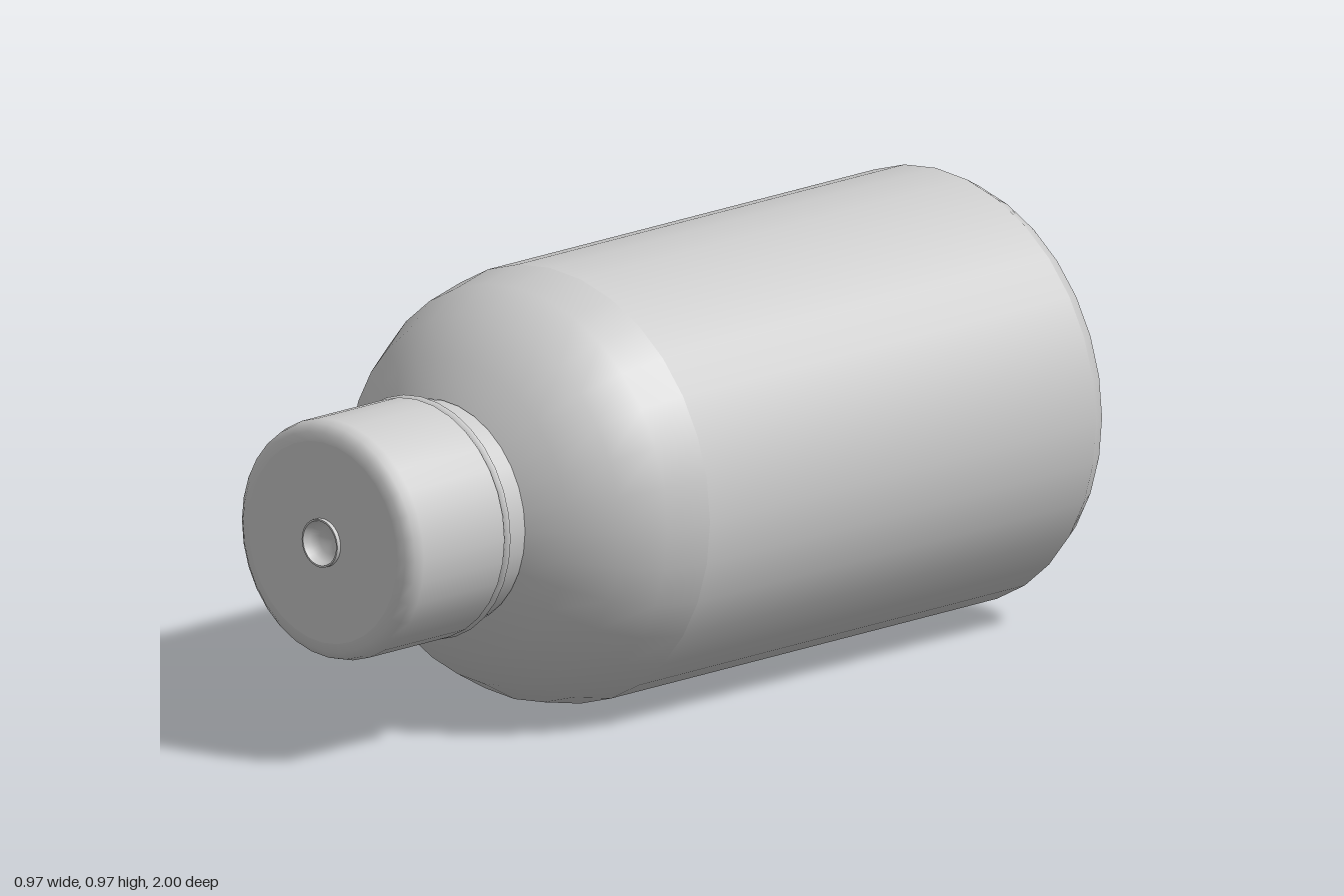
import * as THREE from 'three';

const SIDES = 32;
const material = new THREE.MeshStandardMaterial({ color: 0xcccccc });

// Turns [radius, z] points, listed from back to front, around the bottle's long axis.
function turned(name, points, sides = SIDES) {
  const profile = points.map(([r, z]) => new THREE.Vector2(r, z));
  const geometry = new THREE.LatheGeometry(profile, sides).rotateX(Math.PI / 2);
  const mesh = new THREE.Mesh(geometry, material);
  mesh.name = name;
  return mesh;
}

export function createModel() {
  const bottle = new THREE.Group();
  bottle.name = 'bottle';

  // Body: dished base with rounded rim, straight wall, domed shoulder
  bottle.add(
    turned('base', [[0, -0.968], [0.05, -0.968], [0.3, -0.976], [0.36, -0.99],
      [0.4, -1], [0.43, -0.993], [0.463, -0.972], [0.486, -0.93]]),
    turned('wall', [[0.486, -0.93], [0.486, 0.28]]),
    turned('shoulder', [[0.486, 0.28], [0.463, 0.39], [0.411, 0.485], [0.33, 0.565], [0.25, 0.615]]),
  );

  // Neck with the thin collar below the cap
  bottle.add(
    turned('neck', [[0.248, 0.61], [0.248, 0.665]]),
    turned('collar', [[0.248, 0.665], [0.258, 0.672], [0.271, 0.682], [0.258, 0.69], [0.25, 0.7]]),
  );

  // Cap: skirt, rounded front edge and flat face
  bottle.add(
    turned('capUnderside', [[0.245, 0.698], [0.268, 0.698]]),
    turned('capSkirt', [[0.268, 0.698], [0.268, 0.95], [0.262, 0.972], [0.245, 0.986], [0.225, 0.99]]),
    turned('capFace', [[0.225, 0.99], [0.052, 0.99]]),
  );

  // Small raised spout with a hollow centre
  bottle.add(
    turned('spoutWall', [[0.054, 0.988], [0.054, 1]]),
    turned('spoutRim', [[0.054, 1], [0.05, 1]]),
    turned('spoutHollow', [[0.05, 1], [0.046, 0.982], [0.03, 0.968], [0, 0.962]]),
  );

  bottle.position.y = 0.489;
  const model = new THREE.Group();
  model.add(bottle);
  return model;
}
